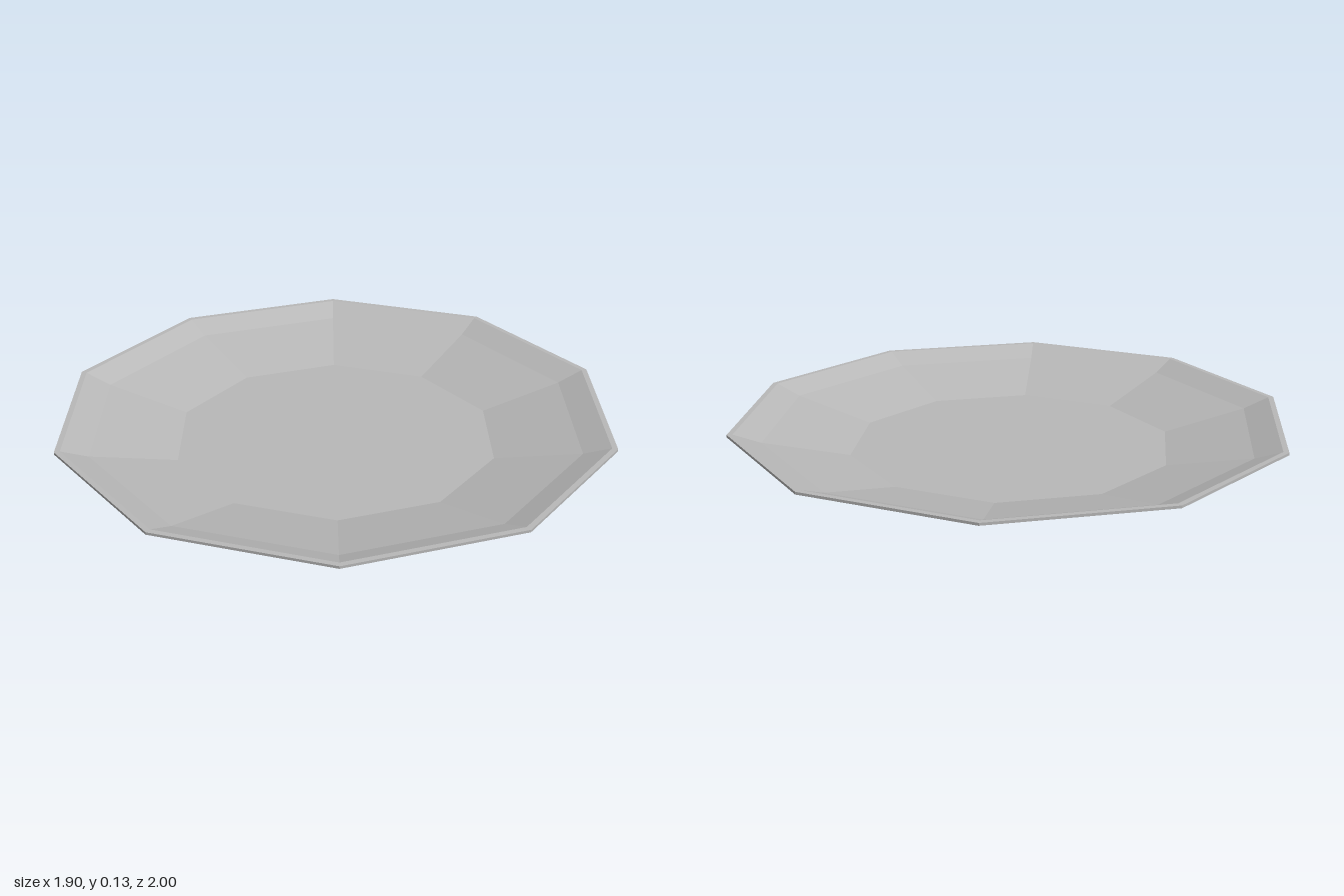
import * as THREE from 'three';

const SIDES = 10;

// Faceted ring or disc swept from [radius, height] points, outside on the right of travel
function facetedSweep(name, points, material) {
  const profile = points.map(([r, y]) => new THREE.Vector2(r, y));
  const geometry = new THREE.LatheGeometry(profile, SIDES).toNonIndexed();
  geometry.computeVertexNormals();
  const mesh = new THREE.Mesh(geometry, material);
  mesh.name = name;
  return mesh;
}

export function createModel() {
  const plate = new THREE.Group();
  plate.name = 'plate';

  const ceramic = new THREE.MeshStandardMaterial({ color: 0xb8b8b8, flatShading: true });
  ceramic.name = 'grey ceramic';

  plate.add(
    // Recessed base and foot ring
    facetedSweep('foot', [[0, 0.012], [0.55, 0.012], [0.58, 0], [0.61, 0], [0.64, 0.01], [0.68, 0.04]], ceramic),
    // Flared underside
    facetedSweep('underside', [[0.68, 0.04], [0.905, 0.087], [1, 0.122]], ceramic),
    // Thin rim edge
    facetedSweep('rim', [[1, 0.122], [1, 0.131], [0.98, 0.131]], ceramic),
    // Sloping inner wall and flat well
    facetedSweep('well', [[0.98, 0.131], [0.885, 0.094], [0.58, 0.025], [0, 0.025]], ceramic)
  );
  return plate;
}
